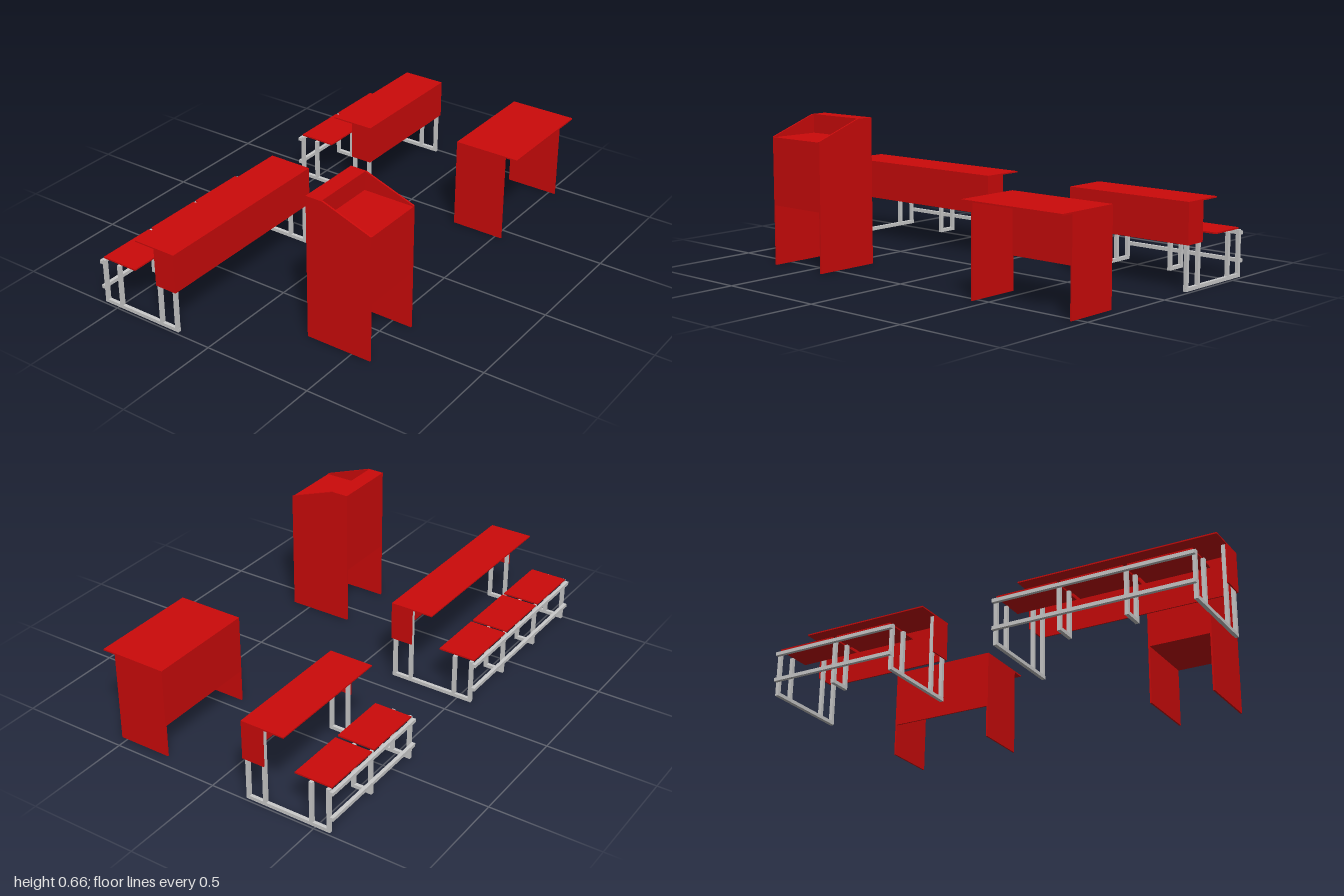
import * as THREE from 'three';

const red = new THREE.MeshStandardMaterial({ color: 0xcc0a0a });
const grey = new THREE.MeshStandardMaterial({ color: 0xcccccc });

// Box given by its min and max on each axis
function box(parent, name, mat, [x0, x1], [y0, y1], [z0, z1]) {
  const mesh = new THREE.Mesh(new THREE.BoxGeometry(x1 - x0, y1 - y0, z1 - z0), mat);
  mesh.position.set((x0 + x1) / 2, (y0 + y1) / 2, (z0 + z1) / 2);
  mesh.name = name;
  parent.add(mesh);
  return mesh;
}

// Desk with a row of seats on one tubular frame
function deskBench(name, x0, x1, frames, seats) {
  const g = new THREE.Group();
  g.name = name;
  const r = 0.008, t = 0.006;

  // Desk: top, front panel and short side panels
  box(g, 'deskTop', red, [x0, x1], [0.374, 0.38], [-0.365, -0.16]);
  box(g, 'deskFrontPanel', red, [x0, x1], [0.2, 0.374], [-0.166, -0.16]);
  box(g, 'deskSidePanel', red, [x0, x0 + t], [0.2, 0.374], [-0.265, -0.166]);
  box(g, 'deskSidePanel', red, [x1 - t, x1], [0.2, 0.374], [-0.265, -0.166]);

  // Frames: full ones at the ends, short ones between the seats
  frames.forEach((x, i) => {
    const end = i === 0 || i === frames.length - 1;
    const xs = [x - r, x + r];
    box(g, 'footRail', grey, xs, [0.003, 0.019], [-0.571, end ? -0.166 : -0.473]);
    for (const z of [-0.481, -0.563]) box(g, 'seatLeg', grey, xs, [0.019, 0.211], [z - r, z + r]);
    if (end) for (const z of [-0.175, -0.257]) box(g, 'deskLeg', grey, xs, [0.019, 0.374], [z - r, z + r]);
  });

  // Long rails behind the seats
  const span = [frames[0] - r, frames[frames.length - 1] + r];
  for (const y of [0.073, 0.195]) box(g, 'backRail', grey, span, [y - r, y + r], [-0.587, -0.571]);

  for (const s of seats) box(g, 'seat', red, s, [0.211, 0.218], [-0.573, -0.398]);
  return g;
}

// Table with a modesty panel and legs set back from the edge
function teacherTable() {
  const g = new THREE.Group();
  g.name = 'table';
  const x0 = 0.432, x1 = 0.946, t = 0.007;
  box(g, 'tableTop', red, [x0, x1], [0.413, 0.42], [0.28, 0.59]);
  box(g, 'tableSide', red, [x0, x0 + t], [0, 0.413], [0.28, 0.53]);
  box(g, 'tableSide', red, [x1 - t, x1], [0, 0.413], [0.28, 0.53]);
  box(g, 'modestyPanel', red, [x0 + t, x1 - t], [0.15, 0.413], [0.28, 0.287]);
  return g;
}

// Lectern: two sloped side panels around a closed cabinet
function lectern() {
  const g = new THREE.Group();
  g.name = 'lectern';
  const x0 = -0.7, x1 = -0.395, t = 0.008;
  const profile = new THREE.Shape([
    [0.28, 0], [0.59, 0], [0.59, 0.578], [0.36, 0.66], [0.28, 0.66],
  ].map(([z, y]) => new THREE.Vector2(-z, y)));
  const sideGeo = new THREE.ExtrudeGeometry(profile, { depth: t, bevelEnabled: false }).rotateY(Math.PI / 2);
  for (const x of [x0, x1 - t]) {
    const side = new THREE.Mesh(sideGeo, red);
    side.name = 'lecternSide';
    side.position.x = x;
    g.add(side);
  }
  const inner = [x0 + t, x1 - t];
  box(g, 'lecternShelf', red, inner, [0.27, 0.278], [0.28, 0.59]);
  box(g, 'lecternFrontPanel', red, inner, [0.278, 0.575], [0.582, 0.59]);
  box(g, 'lecternBackPanel', red, inner, [0.278, 0.652], [0.28, 0.288]);
  box(g, 'lecternDesk', red, inner, [0.567, 0.575], [0.288, 0.582]);
  box(g, 'lecternRiser', red, inner, [0.575, 0.64], [0.346, 0.354]);
  box(g, 'lecternTop', red, inner, [0.64, 0.66], [0.28, 0.355]);
  return g;
}

export function createModel() {
  const model = new THREE.Group();
  model.name = 'classroomFurniture';
  model.add(
    deskBench('threeSeatDesk', -1, -0.095, [-0.984, -0.695, -0.4, -0.11],
      [[-0.98, -0.703], [-0.685, -0.408], [-0.392, -0.115]]),
    deskBench('twoSeatDesk', 0.381, 1, [0.397, 0.689, 0.983],
      [[0.403, 0.68], [0.698, 0.977]]),
    teacherTable(),
    lectern(),
  );
  return model;
}
